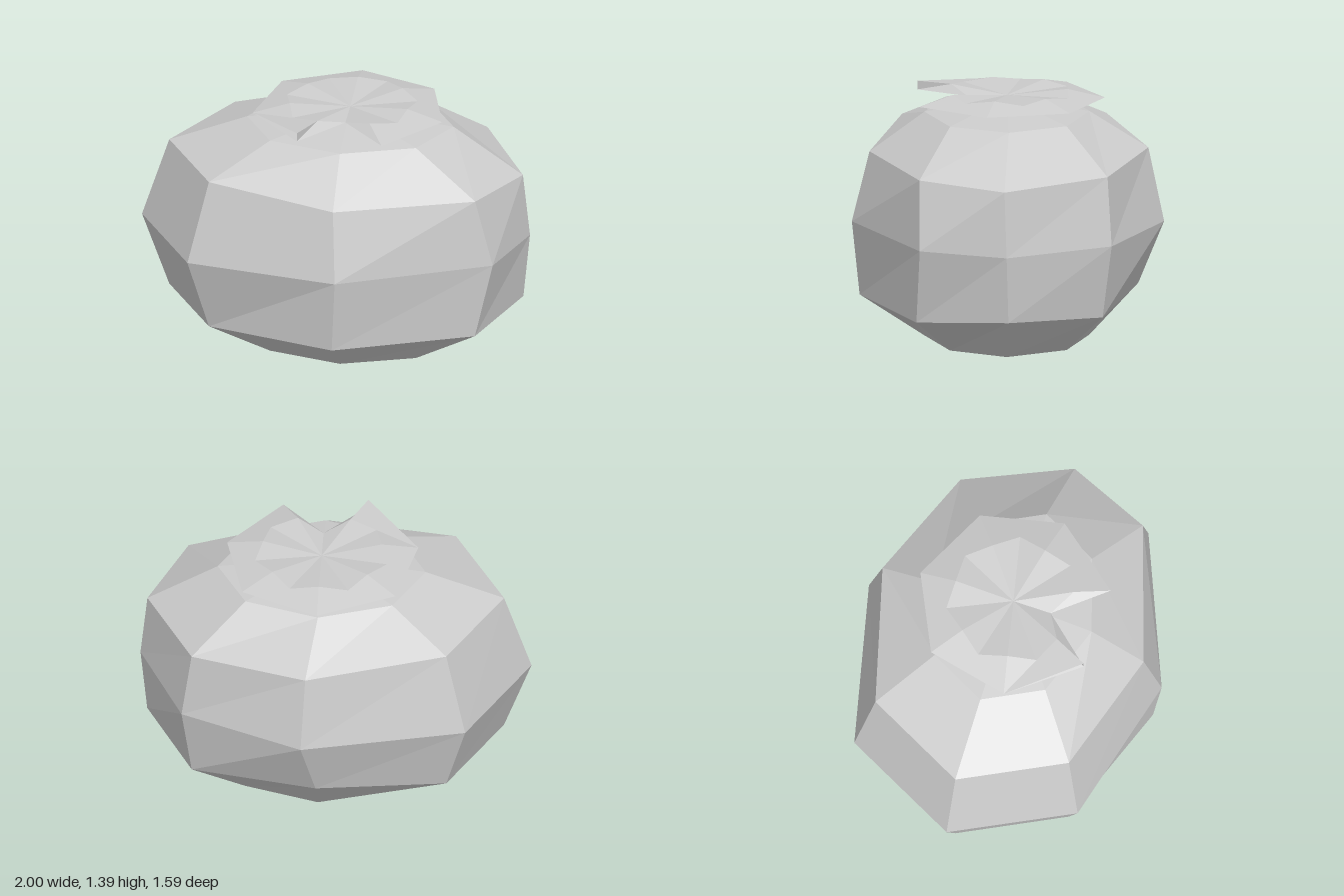
import * as THREE from 'three';

const CX = 0.07; // axis of the fruit, slightly off the middle

function facetedMesh(name, points, side) {
  const g = new THREE.BufferGeometry();
  g.setAttribute('position', new THREE.Float32BufferAttribute(points.flat(), 3));
  g.computeVertexNormals();
  const mesh = new THREE.Mesh(g, new THREE.MeshStandardMaterial({ color: 0xcccccc, flatShading: true, side }));
  mesh.name = name;
  return mesh;
}

// Regular eight-sided ring
function ring(rx, rz, y) {
  return Array.from({ length: 8 }, (_, k) => {
    const a = (k * Math.PI) / 4;
    return [CX + rx * Math.cos(a), y, rz * Math.sin(a)];
  });
}

// Uneven faceted fruit, lofted through rings from bottom to top
function createFruit() {
  const rings = [
    ring(0, 0, 0),
    ring(0.53, 0.42, 0.115),
    [[0.96, 0.365, 0.01], [0.77, 0.33, 0.475], [0.07, 0.33, 0.75], [-0.59, 0.33, 0.52],
      [-0.86, 0.33, 0], [-0.59, 0.33, -0.52], [0.07, 0.385, -0.67], [0.71, 0.34, -0.475]],
    [[0.995, 0.71, 0.02], [0.86, 0.72, 0.46], [0.09, 0.715, 0.79], [-0.69, 0.71, 0.6],
      [-1, 0.71, 0], [-0.69, 0.71, -0.6], [0.14, 0.72, -0.8], [0.76, 0.72, -0.52]],
    [[0.96, 1.045, 0.03], [0.77, 1.07, 0.46], [0.07, 1.075, 0.70], [-0.59, 1.13, 0.52],
      [-0.86, 1.13, 0], [-0.59, 1.13, -0.52], [0.12, 1.1, -0.72], [0.71, 1.07, -0.5]],
    ring(0.53, 0.42, 1.28),
    ring(0, 0, 1.35),
  ];
  const points = [];
  for (let i = 0; i < rings.length - 1; i++) {
    for (let k = 0; k < 8; k++) {
      const n = (k + 1) % 8;
      const a = rings[i][k], b = rings[i][n], c = rings[i + 1][k], d = rings[i + 1][n];
      if (i > 0) points.push(a, c, b);
      if (i < rings.length - 2) points.push(b, c, d);
    }
  }
  return facetedMesh('fruit', points, THREE.FrontSide);
}

// Seven overlapping folded sepals with one open sector at the front
function createCalyx() {
  const polar = (i, r, y) => {
    const a = (i * 2 * Math.PI) / 7;
    return [CX + r * Math.sin(a), y, -r * Math.cos(a)];
  };
  const centre = [CX, 1.365, 0];
  const points = [];
  for (let i = 0; i < 7; i++) {
    const tip = polar(i, 0.5, 1.35);
    const ridge = polar(i, 0.31, 1.395);
    if (i !== 3) {
      const next = polar(i + 1, 0.5, 1.35);
      points.push(tip, ridge, next, ridge, centre, next);
    }
    if (i !== 4) {
      const prev = polar(i - 1, 0.5, 1.35);
      points.push(tip, prev, ridge, ridge, prev, centre);
    }
    // Sepals beside the gap keep a narrow half
    if (i === 3 || i === 4) {
      const notch = polar(3.5, 0.2, 1.36);
      points.push(tip, ridge, notch, ridge, centre, notch);
    }
  }
  // Upturned edge at the gap
  points.push(polar(4, 0.5, 1.35), polar(4, 0.5, 1.395), polar(4, 0.31, 1.395));
  points.push(polar(4, 0.5, 1.395), polar(4, 0.31, 1.395), polar(5, 0.5, 1.35));
  return facetedMesh('calyx', points, THREE.DoubleSide);
}

export function createModel() {
  const model = new THREE.Group();
  model.name = 'lowPolyFruit';
  model.add(createFruit(), createCalyx());
  return model;
}
